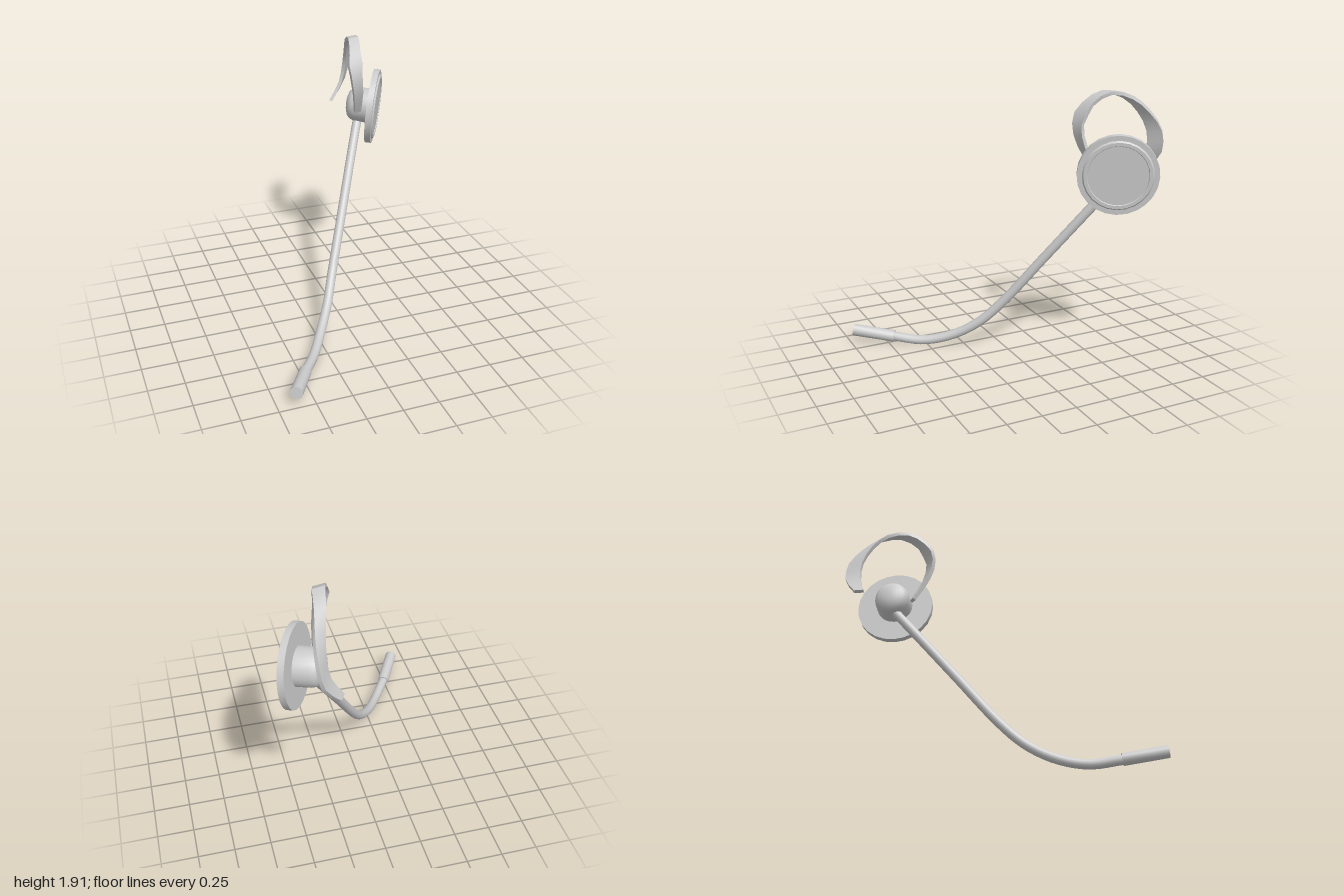
import * as THREE from 'three';
import { toCreasedNormals } from 'three/addons/utils/BufferGeometryUtils.js';

const material = new THREE.MeshStandardMaterial({ color: 0xcccccc });
const vec = (p) => new THREE.Vector3(...p);

function addMesh(parent, name, geometry, crease = 0.6) {
  const mesh = new THREE.Mesh(toCreasedNormals(geometry, crease), material);
  mesh.name = name;
  parent.add(mesh);
  return mesh;
}

const lathe = (profile, sides) =>
  new THREE.LatheGeometry(profile.map(([r, y]) => new THREE.Vector2(r, y)), sides);

// Flat strap swept along a curve; its width vector turns along the way
function strapGeometry(path, widths, thickness, steps) {
  const curve = new THREE.CatmullRomCurve3(path.map(vec));
  const widthCurve = new THREE.CatmullRomCurve3(widths.map(vec));
  const positions = [];
  const index = [];
  for (let i = 0; i <= steps; i++) {
    const t = i / steps;
    const p = curve.getPoint(t);
    const w = widthCurve.getPoint(t).multiplyScalar(0.5);
    const n = curve.getTangent(t).cross(w).setLength(thickness / 2);
    for (const [a, b] of [[-1, -1], [1, -1], [1, 1], [-1, 1]]) {
      const c = p.clone().addScaledVector(w, a).addScaledVector(n, b);
      positions.push(c.x, c.y, c.z);
    }
  }
  for (let i = 0; i < steps; i++) {
    for (let k = 0; k < 4; k++) {
      const a = i * 4 + k, b = i * 4 + (k + 1) % 4;
      index.push(a, b, b + 4, a, b + 4, a + 4);
    }
  }
  const e = steps * 4;
  index.push(0, 3, 2, 0, 2, 1, e, e + 1, e + 2, e, e + 2, e + 3);
  const geometry = new THREE.BufferGeometry();
  geometry.setAttribute('position', new THREE.Float32BufferAttribute(positions, 3));
  geometry.setIndex(index);
  return geometry;
}

export function createModel() {
  const model = new THREE.Group();
  model.name = 'earpieceWithMicrophone';

  // Earpiece: local +y points out of the speaker face
  const earpiece = new THREE.Group();
  earpiece.name = 'earpiece';
  earpiece.position.set(0.5, 1.373, -0.58);
  earpiece.quaternion.setFromUnitVectors(
    new THREE.Vector3(0, 1, 0), new THREE.Vector3(0.87, -0.08, 0.48).normalize());
  model.add(earpiece);

  // Speaker disc with a stepped face
  addMesh(earpiece, 'speakerDisc', lathe([
    [0, -0.025], [0.28, -0.025], [0.28, 0.02], [0.245, 0.02],
    [0.235, 0.032], [0.212, 0.032], [0.208, 0.026], [0, 0.026],
  ], 24));

  // Rounded housing behind the disc
  addMesh(earpiece, 'housing', lathe([
    [0, -0.205], [0.05, -0.202], [0.09, -0.19], [0.117, -0.165],
    [0.128, -0.13], [0.132, -0.02],
  ], 24), 0.9);

  // Ear hook
  const hookPath = [
    [0.34, 1.38, -0.50], [0.31, 1.55, -0.41], [0.285, 1.70, -0.385],
    [0.295, 1.83, -0.45], [0.335, 1.908, -0.58], [0.365, 1.87, -0.73],
    [0.395, 1.77, -0.84], [0.405, 1.63, -0.925], [0.38, 1.48, -0.945],
    [0.285, 1.34, -0.92],
  ];
  const hookWidths = [
    [0.05, 0, -0.01], [0.075, 0, -0.015], [0.09, 0, -0.02],
    [0.09, 0, -0.02], [0.085, 0, -0.02], [0.08, 0, -0.03],
    [0.075, 0, -0.05], [0.065, 0, -0.085], [0.06, 0, -0.095],
    [0.035, 0, -0.06],
  ];
  addMesh(model, 'earHook', strapGeometry(hookPath, hookWidths, 0.025, 18), 0.5);

  // Boom from the housing down to the microphone
  const boomPath = new THREE.CatmullRomCurve3([
    [0.39, 1.285, -0.62], [0.30, 1.10, -0.49], [0.125, 0.73, -0.23],
    [-0.05, 0.36, 0.03], [-0.14, 0.2, 0.18], [-0.25, 0.09, 0.35],
    [-0.36, 0.043, 0.53], [-0.485, 0.062, 0.72],
  ].map(vec));
  addMesh(model, 'boom', new THREE.TubeGeometry(boomPath, 40, 0.034, 14), 0.9);

  // Microphone capsule at the boom tip
  const start = vec([-0.48, 0.062, 0.71]);
  const end = vec([-0.625, 0.107, 0.975]);
  const capsule = addMesh(model, 'microphone',
    new THREE.CylinderGeometry(0.043, 0.043, start.distanceTo(end), 16));
  capsule.position.copy(start).lerp(end, 0.5);
  capsule.quaternion.setFromUnitVectors(
    new THREE.Vector3(0, 1, 0), end.clone().sub(start).normalize());

  return model;
}
